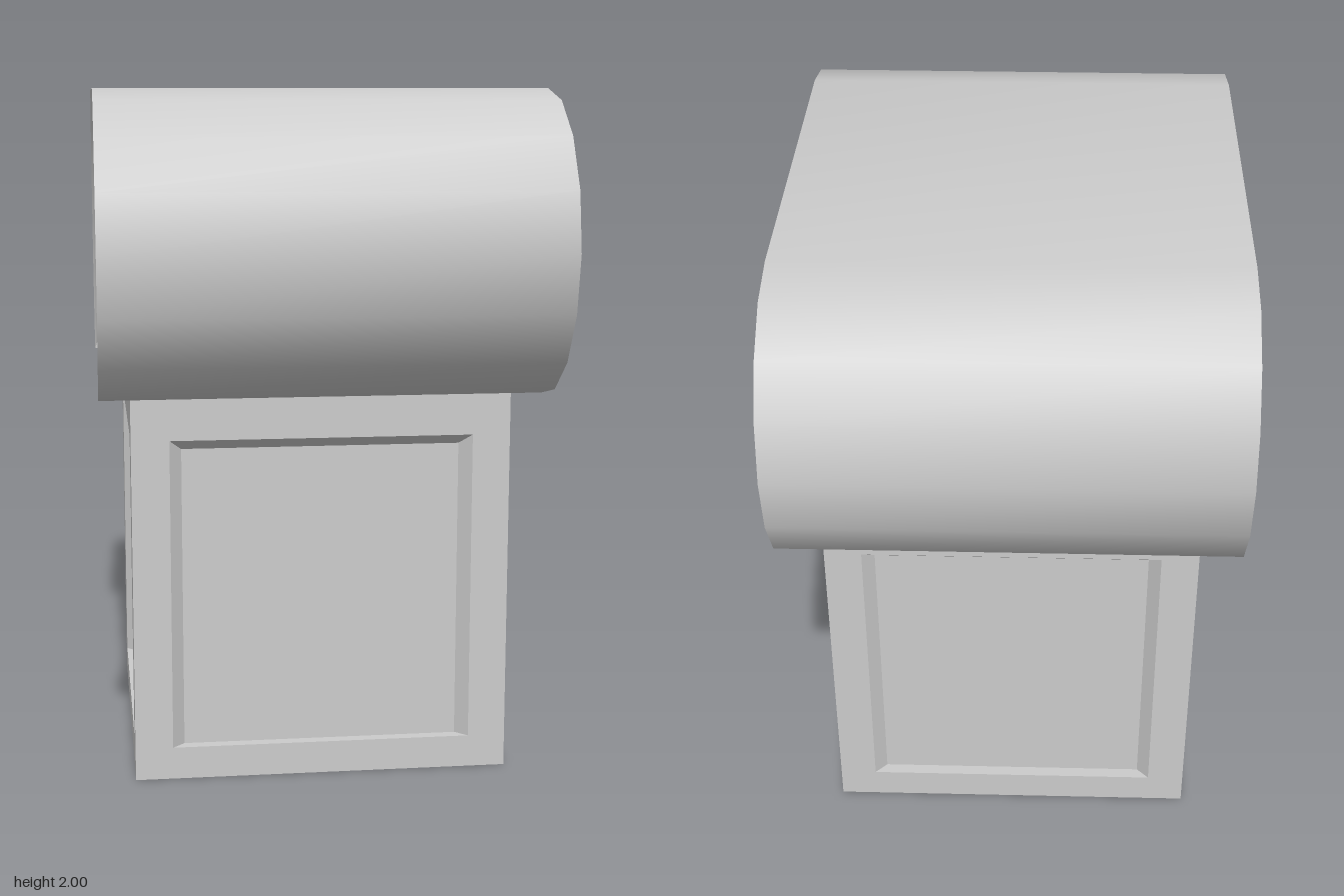
import * as THREE from 'three';
import { toCreasedNormals } from 'three/addons/utils/BufferGeometryUtils.js';

const material = new THREE.MeshStandardMaterial({ color: 0xcccccc, side: THREE.DoubleSide });

function addMesh(parent, name, geometry) {
  const mesh = new THREE.Mesh(geometry, material);
  mesh.name = name;
  parent.add(mesh);
  return mesh;
}

// Triangles from a list of quads, each given as four corners [x, y, z]
function quadGeometry(quads, crease = 0.5) {
  const positions = [];
  for (const [a, b, c, d] of quads) positions.push(...a, ...b, ...c, ...a, ...c, ...d);
  const geometry = new THREE.BufferGeometry();
  geometry.setAttribute('position', new THREE.Float32BufferAttribute(positions, 3));
  return toCreasedNormals(geometry, crease);
}

// Joins two corner loops of equal length with a ring of quads
function ring(lower, upper) {
  return lower.map((p, i) => {
    const j = (i + 1) % lower.length;
    return [p, lower[j], upper[j], upper[i]];
  });
}

const rect = (w, y0, y1, z) => [[-w, y0, z], [w, y0, z], [w, y1, z], [-w, y1, z]];
const level = (w, y, d) => [[-w, y, d], [w, y, d], [w, y, -d], [-w, y, -d]];

// One pillar face: frame, bevelled rim and sunken panel
function makePillarSide() {
  const side = new THREE.Group();
  side.name = 'pillarSide';
  const outer = rect(0.55, 0, 1.13, 0.55);
  const opening = rect(0.44, 0.095, 1.01, 0.55);
  const panel = rect(0.405, 0.095, 0.98, 0.515);
  addMesh(side, 'panelFrame', quadGeometry(ring(outer, opening)));
  addMesh(side, 'panelBevel', quadGeometry(ring(opening, panel)));
  addMesh(side, 'sunkenPanel', quadGeometry([panel]));
  return side;
}

// Point on the rolled band: station 0..17 runs over the top, inset moves inward
const CY = 1.565;
function bandPoint(station, inset, x) {
  const front = station < 9;
  const angle = ((front ? station : station - 1) - 4) * Math.PI / 8;
  const a = front ? angle : Math.PI / 2 - (station - 9) * Math.PI / 8;
  const z = 0.55 + (0.39 - inset * 0.9) * Math.cos(a);
  return [x, CY + (0.435 - inset) * Math.sin(a), front ? z : -z];
}

// Band that wraps the capital, with a stepped edge on both sides
function makeBand() {
  const half = [[0, 0.64], [0.04, 0.628], [0.175, 0.628], [0.215, 0.595]];
  const profile = [
    ...half.map(([d, x]) => [d, -x]).reverse(),
    ...half,
  ];
  const quads = [];
  for (let s = 0; s < 17; s++) {
    for (let i = 0; i < profile.length - 1; i++) {
      const [d0, x0] = profile[i], [d1, x1] = profile[i + 1];
      quads.push([bandPoint(s, d0, x0), bandPoint(s, d1, x1),
        bandPoint(s + 1, d1, x1), bandPoint(s + 1, d0, x0)]);
    }
  }
  // Flat ends beside the neck
  for (const s of [0, 17]) {
    for (let i = 0; i < half.length - 1; i++) {
      const [d0, x0] = half[i], [d1, x1] = half[i + 1];
      const quad = [bandPoint(s, d0, -x0), bandPoint(s, d0, x0),
        bandPoint(s, d1, x1), bandPoint(s, d1, -x1)];
      quads.push(s === 0 ? quad.reverse() : quad);
    }
  }
  return quadGeometry(quads);
}

// Long rounded block across the model, centred on x = 0
function roundedBlock(straight, rz, ry, cy, width) {
  const points = [];
  for (let i = 0; i < 18; i++) {
    const a = (i < 9 ? i - 4 : i - 5) * Math.PI / 8;
    points.push(new THREE.Vector2(
      (i < 9 ? straight : -straight) + rz * Math.cos(a),
      cy + ry * Math.sin(a)));
  }
  const geometry = new THREE.ExtrudeGeometry(new THREE.Shape(points), { depth: width, bevelEnabled: false });
  geometry.translate(0, 0, -width / 2);
  geometry.rotateY(Math.PI / 2);
  return toCreasedNormals(geometry, 0.5);
}

export function createModel() {
  const model = new THREE.Group();
  model.name = 'pillarWithCapital';

  // Hollow shaft, open underneath
  for (let i = 0; i < 4; i++) {
    const side = makePillarSide();
    side.rotation.y = i * Math.PI / 2;
    model.add(side);
  }

  // Neck flaring out into the capital
  addMesh(model, 'neck', quadGeometry(
    ring(level(0.55, 1.13, 0.55), level(0.595, 1.35, 0.565))));

  // Capital: rolled band, core and raised side cushions
  addMesh(model, 'rolledBand', makeBand());
  addMesh(model, 'capitalCore', roundedBlock(0.55, 0.196, 0.22, CY, 1.19));
  addMesh(model, 'sideCushion', roundedBlock(0.59, 0.083, 0.163, 1.548, 1.25));
  return model;
}
